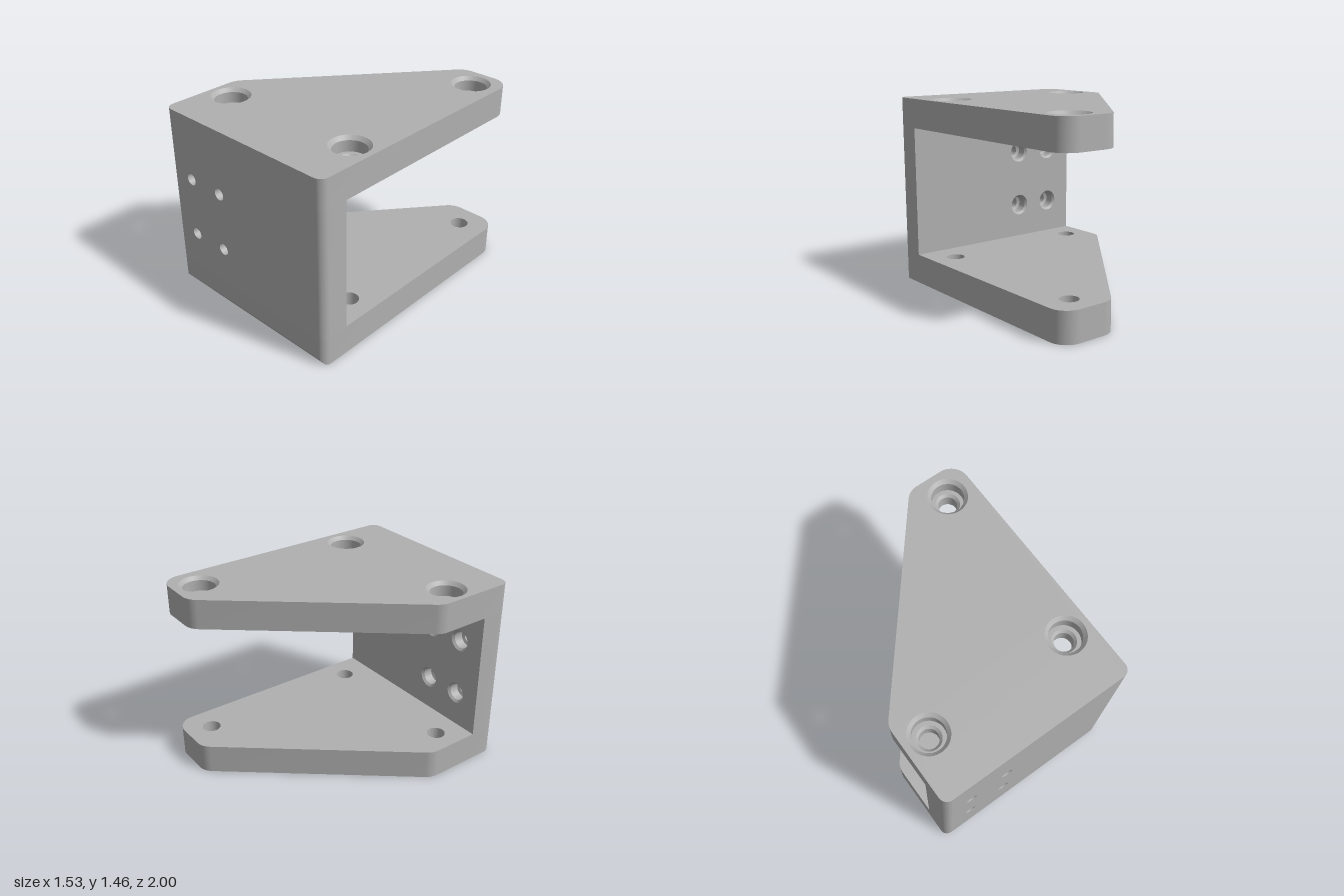
import * as THREE from 'three';
import { toCreasedNormals } from 'three/addons/utils/BufferGeometryUtils.js';

const W = 0.765, H = 1.46, LOW = 0.23, HIGH = 1.235, BACK = 0.78; // overall sizes
const EDGE = 0.065, TIP = 0.14, SEG = 16;                        // corner radii and arc steps

// Polygon corners [x, z, radius] turned into a rounded outline
function roundedOutline(corners) {
  const n = corners.length, pts = [];
  corners.forEach(([x, z, r], i) => {
    const p = new THREE.Vector2(x, z);
    if (!r) { pts.push(p); return; }
    const a = corners[(i + n - 1) % n], b = corners[(i + 1) % n];
    const u = new THREE.Vector2(a[0], a[1]).sub(p).normalize();
    const v = new THREE.Vector2(b[0], b[1]).sub(p).normalize();
    const half = Math.acos(u.dot(v)) / 2;
    const c = u.clone().add(v).normalize().multiplyScalar(r / Math.sin(half)).add(p);
    const start = u.clone().multiplyScalar(r / Math.tan(half)).add(p).sub(c);
    const end = v.clone().multiplyScalar(r / Math.tan(half)).add(p).sub(c);
    const turn = Math.atan2(start.cross(end), start.dot(end));
    for (let k = 0; k <= SEG; k++) {
      pts.push(start.clone().rotateAround(new THREE.Vector2(), turn * k / SEG).add(c));
    }
  });
  return pts;
}

// Ring of 48 points, round or six-sided
function ring(cx, cz, r, hex = false) {
  return Array.from({ length: 48 }, (_, i) => {
    const t = -i / 48 * Math.PI * 2;
    const s = hex ? Math.cos(Math.PI / 6) / Math.cos((i % 8) / 8 * Math.PI / 3 - Math.PI / 6) : 1;
    return new THREE.Vector2(cx + r * s * Math.cos(t), cz + r * s * Math.sin(t));
  });
}

// Skin between levels { y, pts } of equal point count
function loft(levels, closed = true) {
  const n = levels[0].pts.length, pos = [], index = [];
  levels.forEach(({ y, pts }) => pts.forEach(p => pos.push(p.x, y, p.y)));
  for (let j = 0; j < levels.length - 1; j++) {
    for (let i = 0; i < (closed ? n : n - 1); i++) {
      const a = j * n + i, b = j * n + (i + 1) % n;
      index.push(a, b, b + n, a, b + n, a + n);
    }
  }
  const g = new THREE.BufferGeometry();
  g.setAttribute('position', new THREE.Float32BufferAttribute(pos, 3));
  g.setIndex(index);
  return toCreasedNormals(g, 0.4);
}

// Flat face with holes; flip turns it to face the other way
function face(pts, holes, flip = false) {
  const shape = new THREE.Shape(pts);
  shape.holes = holes.map(h => new THREE.Path(h));
  const g = new THREE.ShapeGeometry(shape);
  if (flip) {
    g.index.array.reverse();
    g.computeVertexNormals();
  }
  return g;
}

export function createModel() {
  const model = new THREE.Group();
  model.name = 'bracket';
  const grey = new THREE.MeshStandardMaterial({ color: 0xb0b0b0 });
  grey.name = 'grey';
  const add = (name, geometry, y = 0, z = 0) => {
    const mesh = new THREE.Mesh(geometry, grey);
    mesh.name = name;
    mesh.position.set(0, y, z);
    model.add(mesh);
  };
  const cap = (name, y, pts, holes, up) => add(name, face(pts, holes, up).rotateX(Math.PI / 2), y);

  const outline = roundedOutline([
    [-W, 0.366, TIP], [-W, 1, EDGE], [W, 1, EDGE], [W, -1, TIP], [0.352, -1, TIP],
  ]);
  const bolts = [[0.55, -0.8], [0.572, 0.543], [-0.578, 0.562]];
  const boltRings = (r, hex) => bolts.map(([x, z]) => ring(x, z, r, hex));

  // Upper plate
  add('upperPlateRim', loft([{ y: HIGH, pts: outline }, { y: H, pts: outline }]));
  cap('upperPlateTop', H, outline, boltRings(0.147), true);
  cap('upperPlateUnderside', HIGH, outline, boltRings(0.07), false);

  // Lower plate, its front bottom edge rounded by trimming each level
  const trim = z => outline.map(p => new THREE.Vector2(p.x, Math.min(p.y, z)));
  const levels = [];
  for (let k = 0; k <= SEG; k++) {
    const a = k / SEG * Math.PI / 2;
    levels.push({ y: EDGE * (1 - Math.cos(a)), pts: trim(1 - EDGE + EDGE * Math.sin(a)) });
  }
  levels.push({ y: LOW, pts: outline });
  add('lowerPlateRim', loft(levels));
  cap('lowerPlateTop', LOW, outline, boltRings(0.07), true);
  cap('lowerPlateUnderside', 0, trim(1 - EDGE), boltRings(0.155, true), false);

  // Bolt holes: stepped round seats above, six-sided nut pockets below
  const bore = (x, z, steps) => loft(steps.map(([y, r, hex]) => ({ y, pts: ring(x, z, r, hex) })));
  for (const [x, z] of bolts) {
    add('boltSeat', bore(x, z, [
      [H, 0.147], [H - 0.027, 0.12], [H - 0.11, 0.12], [H - 0.11, 0.09], [H - 0.13, 0.07], [HIGH, 0.07],
    ]));
    add('nutPocket', bore(x, z, [
      [LOW, 0.07], [0.11, 0.07], [0.11, 0.13, true], [0.027, 0.13, true], [0, 0.155, true],
    ]));
  }

  // Front wall: rounded sides, outer and inner faces
  const wall = roundedOutline([[-W, BACK, 0], [-W, 1, EDGE], [W, 1, EDGE], [W, BACK, 0]]);
  for (const side of [wall.slice(0, SEG + 2), wall.slice(SEG + 2)]) {
    add('wallSide', loft([{ y: LOW, pts: side }, { y: HIGH, pts: side }], false));
  }
  const rect = w => [[-w, LOW], [w, LOW], [w, HIGH], [-w, HIGH]].map(p => new THREE.Vector2(...p));
  const screws = [-0.54, -0.235].flatMap(x => [0.5, 0.96].map(y => [x, y]));
  const screwRings = r => screws.map(([x, y]) => ring(x, y, r));
  add('wallFront', face(rect(W - EDGE), screwRings(0.045)), 0, 1);
  add('wallInside', face(rect(W), screwRings(0.085), true), 0, BACK);

  // Screw holes through the wall, widened on the inside
  for (const [x, y] of screws) {
    add('screwHole', bore(x, -y, [
      [1, 0.045], [0.88, 0.045], [0.87, 0.068], [0.797, 0.068], [BACK, 0.085],
    ]).rotateX(Math.PI / 2));
  }
  return model;
}
